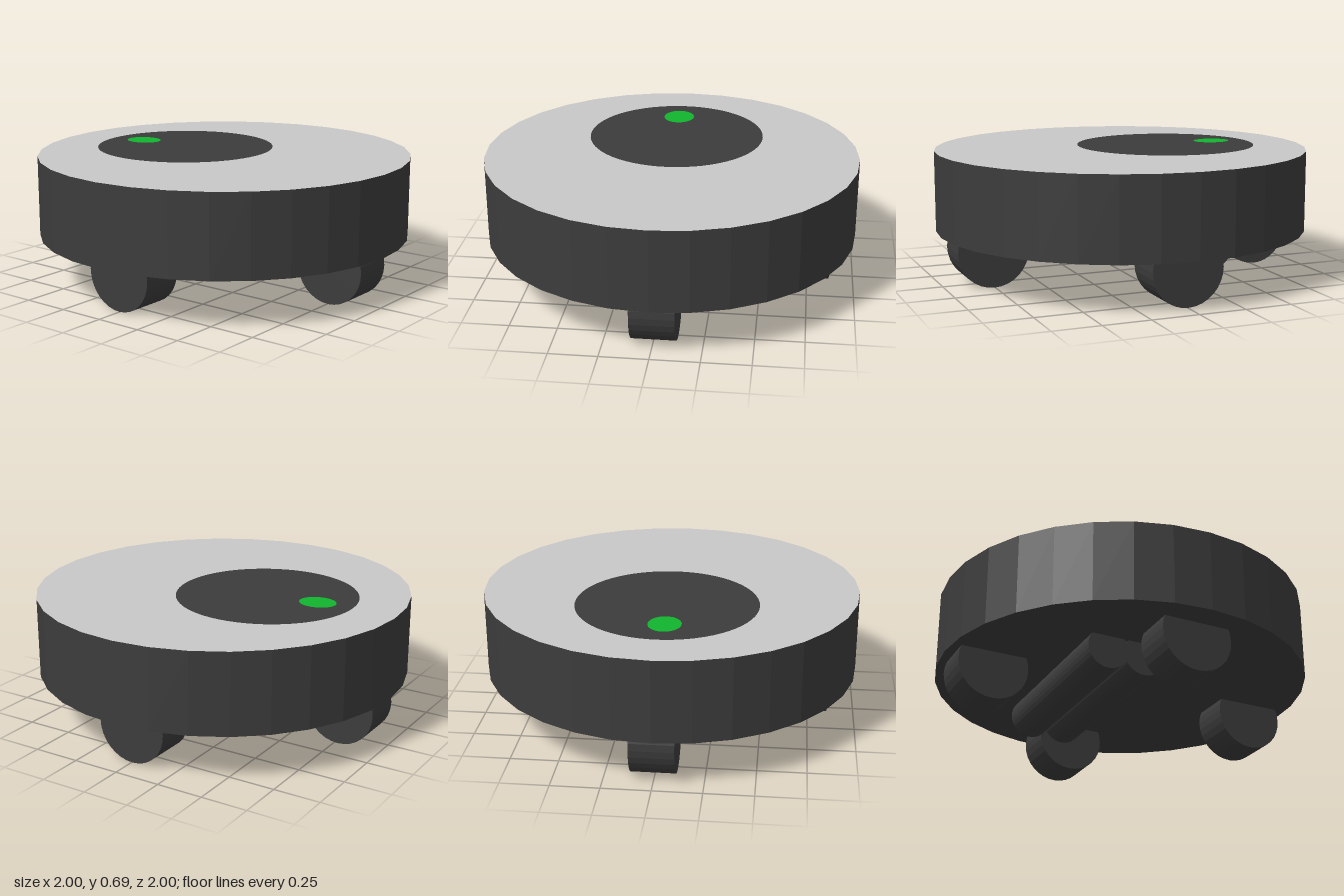
import * as THREE from 'three';

const mat = (name, color) => {
  const m = new THREE.MeshStandardMaterial({ color });
  m.name = name;
  return m;
};

export function createModel() {
  const model = new THREE.Group();
  const dark = mat('charcoal', 0x3c3c3c);
  const light = mat('lightGrey', 0xc8c8c8);
  const green = mat('green', 0x11b52e);

  const add = (name, geometry, material, x, y, z) => {
    const mesh = new THREE.Mesh(geometry, material);
    mesh.name = name;
    mesh.position.set(x, y, z);
    model.add(mesh);
    return mesh;
  };

  // Faceted round body: dark side and underside, light top face
  const bodyGeo = new THREE.CylinderGeometry(1, 1, 0.43, 32).toNonIndexed();
  bodyGeo.computeVertexNormals();
  add('body', bodyGeo, [dark, light, dark], 0, 0.475, 0);

  // Thin painted discs on the top: panel and button
  const disc = (name, material, x, z, rx, rz, y) => {
    const geo = new THREE.CircleGeometry(1, 64).rotateX(-Math.PI / 2).scale(rx, 1, rz);
    add(name, geo, material, x, y, z);
  };
  disc('topPanel', dark, -0.27, 0.003, 0.485, 0.478, 0.692);
  disc('powerButton', green, -0.56, 0.02, 0.1, 0.085, 0.695);

  // Rollers lie along z; wheels and brushes share the same faceted form
  const roller = (name, r, length, x, y, z) => {
    const geo = new THREE.CylinderGeometry(r, r, length, 32).rotateX(Math.PI / 2).toNonIndexed();
    geo.computeVertexNormals();
    add(name, geo, dark, x, y, z);
  };
  const wheels = [
    ['rightWheel', -0.77, -0.005],
    ['leftWheel', 0.755, -0.005],
    ['frontWheel', -0.003, 0.74],
    ['backWheel', -0.003, -0.755],
  ];
  for (const [name, x, z] of wheels) roller(name, 0.19, 0.226, x, 0.192, z);

  // Pair of long brushes under the body
  roller('outerBrush', 0.11, 1.015, -0.325, 0.195, 0.022);
  roller('innerBrush', 0.11, 1.015, -0.128, 0.195, 0.022);

  return model;
}
